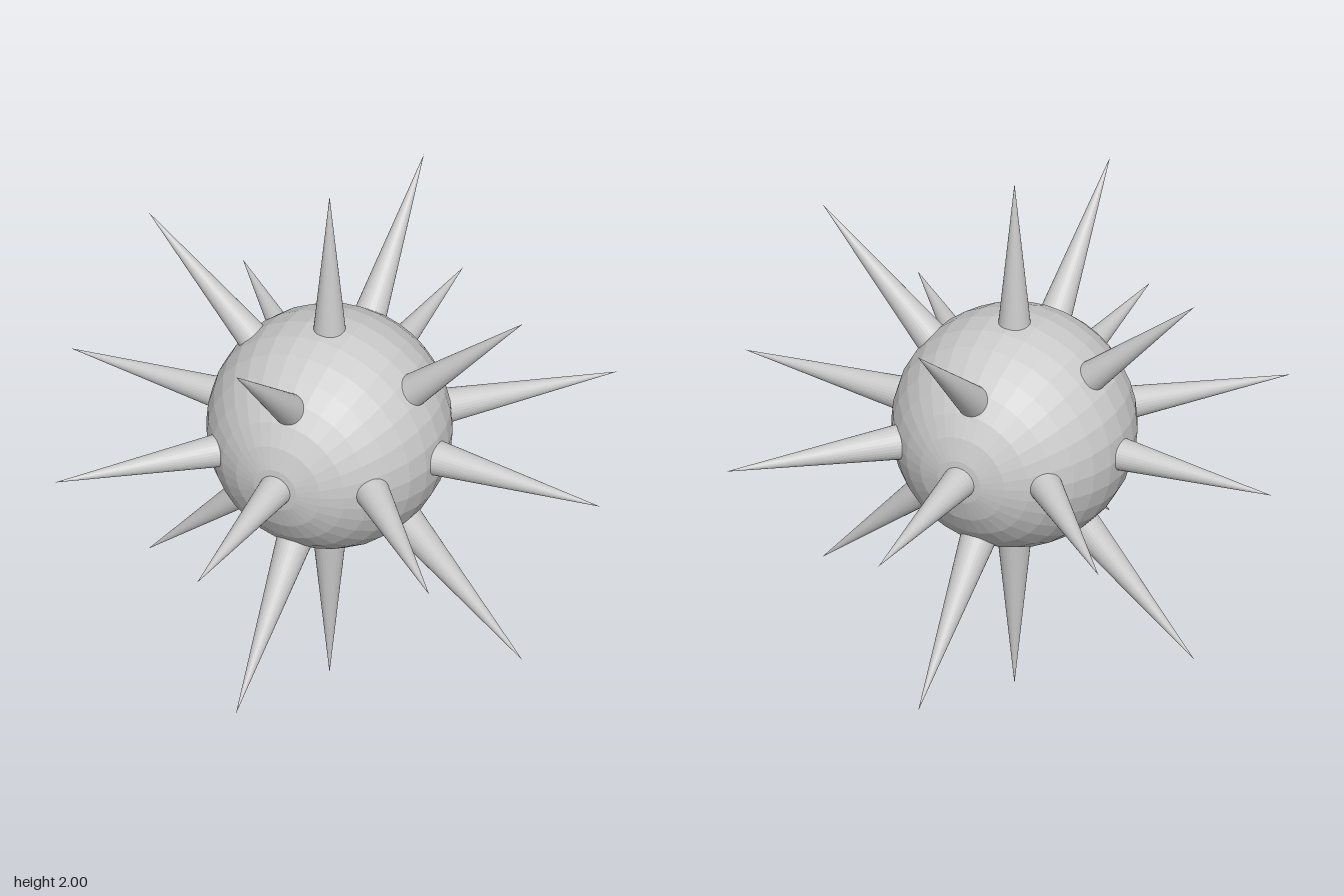
import * as THREE from 'three';

const material = new THREE.MeshStandardMaterial({ color: 0xcccccc, flatShading: true });

// Centre of the ball and of the straight spikes; tips lie on a unit sphere about HUB
const BALL = new THREE.Vector3(-0.023, 1.037, 0.003);
const HUB = new THREE.Vector3(0, 1, 0);
const UP = new THREE.Vector3(0, 1, 0);
const START = 0.3; // the base is buried inside the ball
const SLOPE = 0.098; // base radius per unit of length

// Spike along a direction; it keeps the ball's offset on axes the direction does not use
function makeSpike(geometry, direction) {
  const spike = new THREE.Mesh(geometry, material);
  const dir = direction.clone().normalize();
  spike.quaternion.setFromUnitVectors(UP, dir);
  for (const axis of ['x', 'y', 'z']) {
    spike.position[axis] = dir[axis] === 0 ? BALL[axis] : HUB[axis];
  }
  spike.name = 'spike';
  return spike;
}

export function createModel() {
  const model = new THREE.Group();
  model.name = 'spikedBall';

  // Faceted ball with its poles front and back
  const ball = new THREE.Mesh(new THREE.SphereGeometry(0.417, 32, 16), material);
  ball.rotation.x = Math.PI / 2;
  ball.position.copy(BALL);
  ball.name = 'ball';
  model.add(ball);

  // Cone from the buried base to the tip at distance 1
  const length = 1 - START;
  const cone = new THREE.ConeGeometry(length * SLOPE, length, 32);
  cone.translate(0, START + length / 2, 0);

  // Six straight spikes and twelve diagonal ones
  const straight = new THREE.Group();
  straight.name = 'straightSpikes';
  const diagonal = new THREE.Group();
  diagonal.name = 'diagonalSpikes';
  for (let x = -1; x <= 1; x++) {
    for (let y = -1; y <= 1; y++) {
      for (let z = -1; z <= 1; z++) {
        const used = Math.abs(x) + Math.abs(y) + Math.abs(z);
        if (used === 1) straight.add(makeSpike(cone, new THREE.Vector3(x, y, z)));
        if (used === 2) diagonal.add(makeSpike(cone, new THREE.Vector3(x, y, z)));
      }
    }
  }
  model.add(straight, diagonal);
  return model;
}
